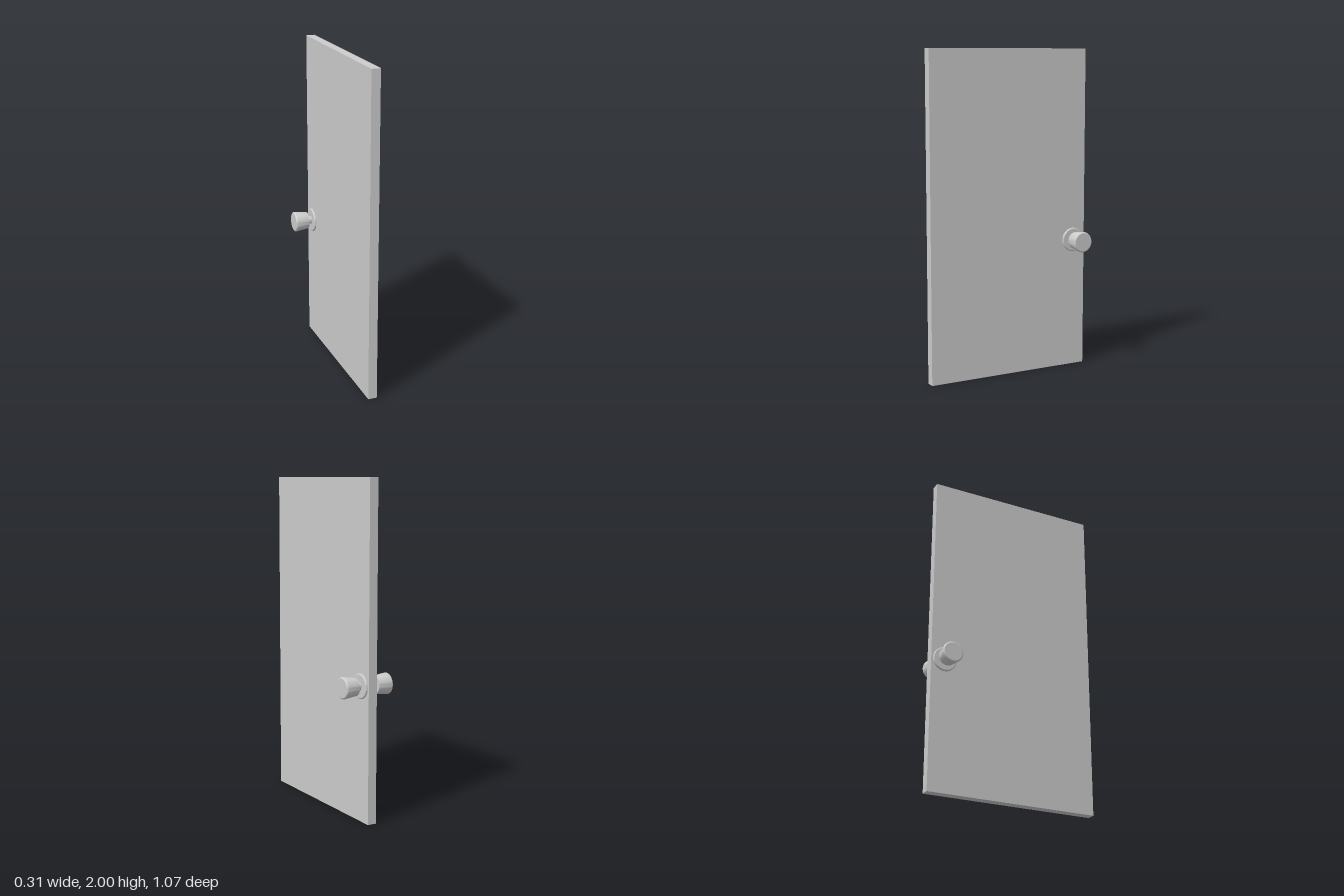
import * as THREE from 'three';
import { toCreasedNormals } from 'three/addons/utils/BufferGeometryUtils.js';

const material = new THREE.MeshStandardMaterial({ color: 0xcccccc });
const DOOR = { thickness: 0.055, height: 2, width: 1.068 };
const KNOB = { y: 0.808, z: -0.449 };

// Turned part: profile of [radius, distance from door centre], axis along +x
function turned(name, profile) {
  const points = profile.map(([r, d]) => new THREE.Vector2(r, d));
  const geometry = new THREE.LatheGeometry(points, 48).rotateZ(-Math.PI / 2);
  const mesh = new THREE.Mesh(toCreasedNormals(geometry, Math.PI / 7), material);
  mesh.name = name;
  return mesh;
}

function createKnob(name) {
  const knob = new THREE.Group();
  knob.name = name;
  knob.add(
    // Round plate against the door, with a bevelled rim
    turned('rose', [[0, 0.02], [0.074, 0.02], [0.074, 0.034], [0.072, 0.037], [0.068, 0.039], [0, 0.039]]),
    // Thin neck between plate and grip
    turned('neck', [[0, 0.03], [0.025, 0.03], [0.025, 0.075], [0, 0.075]]),
    // Flared grip with a softened outer edge
    turned('grip', [[0, 0.066], [0.053, 0.066], [0.064, 0.147], [0.0635, 0.15], [0.061, 0.154], [0.056, 0.157], [0, 0.157]])
  );
  return knob;
}

export function createModel() {
  const model = new THREE.Group();
  model.name = 'door';

  // Plain slab
  const slab = new THREE.Mesh(new THREE.BoxGeometry(DOOR.thickness, DOOR.height, DOOR.width), material);
  slab.name = 'doorSlab';
  slab.position.y = DOOR.height / 2;
  model.add(slab);

  // One knob on each face
  for (const [name, turn] of [['leftKnob', 0], ['rightKnob', Math.PI]]) {
    const knob = createKnob(name);
    knob.position.set(0, KNOB.y, KNOB.z);
    knob.rotation.y = turn;
    model.add(knob);
  }
  return model;
}
